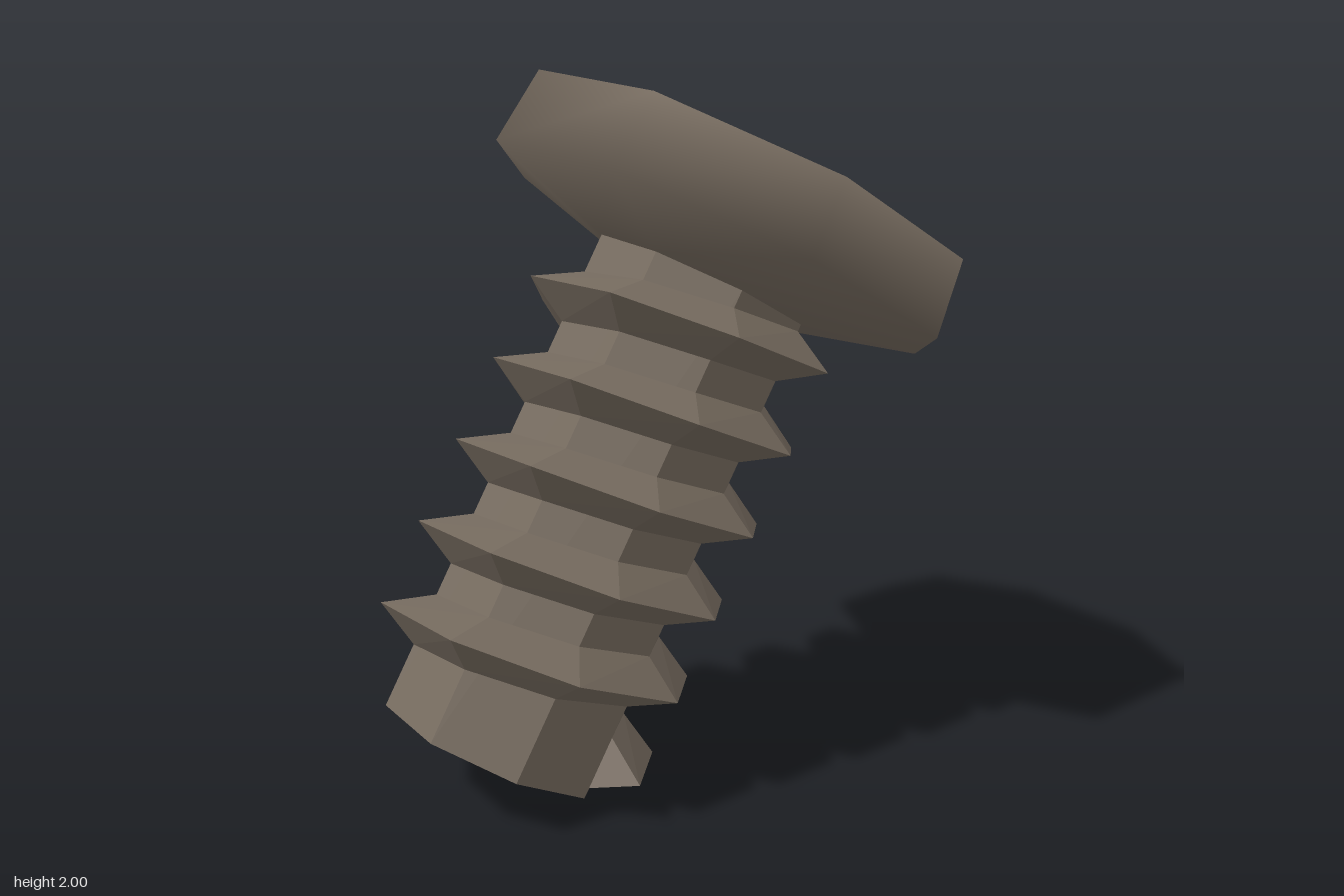
import * as THREE from 'three';

const SIDES = 8;
const SHANK_R = 0.325, SHANK_H = 1.42;
const PITCH = 0.2437, TURNS = 5, TIP_R = 0.457, HALF_W = 0.075;

// Point on step k of the octagon, at radius r and height y along the screw axis
const ringPoint = (k, r, y) => {
  const a = (k * Math.PI * 2) / SIDES;
  return [r * Math.sin(a), y, r * Math.cos(a)];
};

function indexed(positions, index) {
  const g = new THREE.BufferGeometry();
  g.setAttribute('position', new THREE.Float32BufferAttribute(positions, 3));
  g.setIndex(index);
  return g;
}

// Head: sloped underside, slightly tapered rim and flat top, smooth all over
function headGeometry() {
  const rings = [[SHANK_R, SHANK_H], [0.695, 1.52], [0.67, 1.74]];
  const pos = [], idx = [];
  for (const [r, y] of rings) {
    for (let i = 0; i < SIDES; i++) pos.push(...ringPoint(i - 1, r, y));
  }
  for (let j = 0; j < rings.length - 1; j++) {
    for (let i = 0; i < SIDES; i++) {
      const n = (i + 1) % SIDES;
      const a = j * SIDES + i, b = j * SIDES + n;
      idx.push(a, b, b + SIDES, a, b + SIDES, a + SIDES);
    }
  }
  const top = (rings.length - 1) * SIDES;
  for (let i = 1; i < SIDES - 1; i++) idx.push(top, top + i, top + i + 1);
  const g = indexed(pos, idx);
  g.computeVertexNormals();
  return g;
}

// Thread: a V section swept up a right-handed helix, closed at both ends
function threadGeometry() {
  const pos = [], idx = [];
  const steps = TURNS * SIDES;
  for (let k = 0; k <= steps; k++) {
    const y = 0.106 + (k * PITCH) / SIDES;
    pos.push(...ringPoint(k + 2, SHANK_R, y - HALF_W));
    pos.push(...ringPoint(k + 2, TIP_R, y));
    pos.push(...ringPoint(k + 2, SHANK_R, y + HALF_W));
  }
  for (let k = 0; k < steps; k++) {
    for (let j = 0; j < 2; j++) {
      const a = k * 3 + j, b = a + 3;
      idx.push(a, b, b + 1, a, b + 1, a + 1);
    }
  }
  const e = steps * 3;
  idx.push(0, 1, 2, e, e + 2, e + 1);
  const g = indexed(pos, idx).toNonIndexed();
  g.computeVertexNormals();
  return g;
}

export function createModel() {
  const color = 0x756a5e;
  const smooth = new THREE.MeshStandardMaterial({ color });
  const flat = new THREE.MeshStandardMaterial({ color, flatShading: true });

  const screw = new THREE.Group();
  screw.name = 'screw';
  const add = (name, geometry, material) => {
    const mesh = new THREE.Mesh(geometry, material);
    mesh.name = name;
    screw.add(mesh);
  };

  add('head', headGeometry(), smooth);
  add('shank', new THREE.CylinderGeometry(SHANK_R, SHANK_R, SHANK_H, SIDES).translate(0, SHANK_H / 2, 0), flat);
  add('thread', threadGeometry(), flat);

  // Lean the screw along its axis, resting on its lowest corner
  const yAxis = new THREE.Vector3(0.277, 0.883, -0.38).normalize();
  const xAxis = yAxis.clone().cross(new THREE.Vector3(0.027, 0.388, 0.921)).normalize();
  const zAxis = xAxis.clone().cross(yAxis);
  screw.quaternion.setFromRotationMatrix(new THREE.Matrix4().makeBasis(xAxis, yAxis, zAxis));
  screw.position.set(-0.375, 0.155, 0.48);

  const model = new THREE.Group();
  model.name = 'model';
  model.add(screw);
  return model;
}
